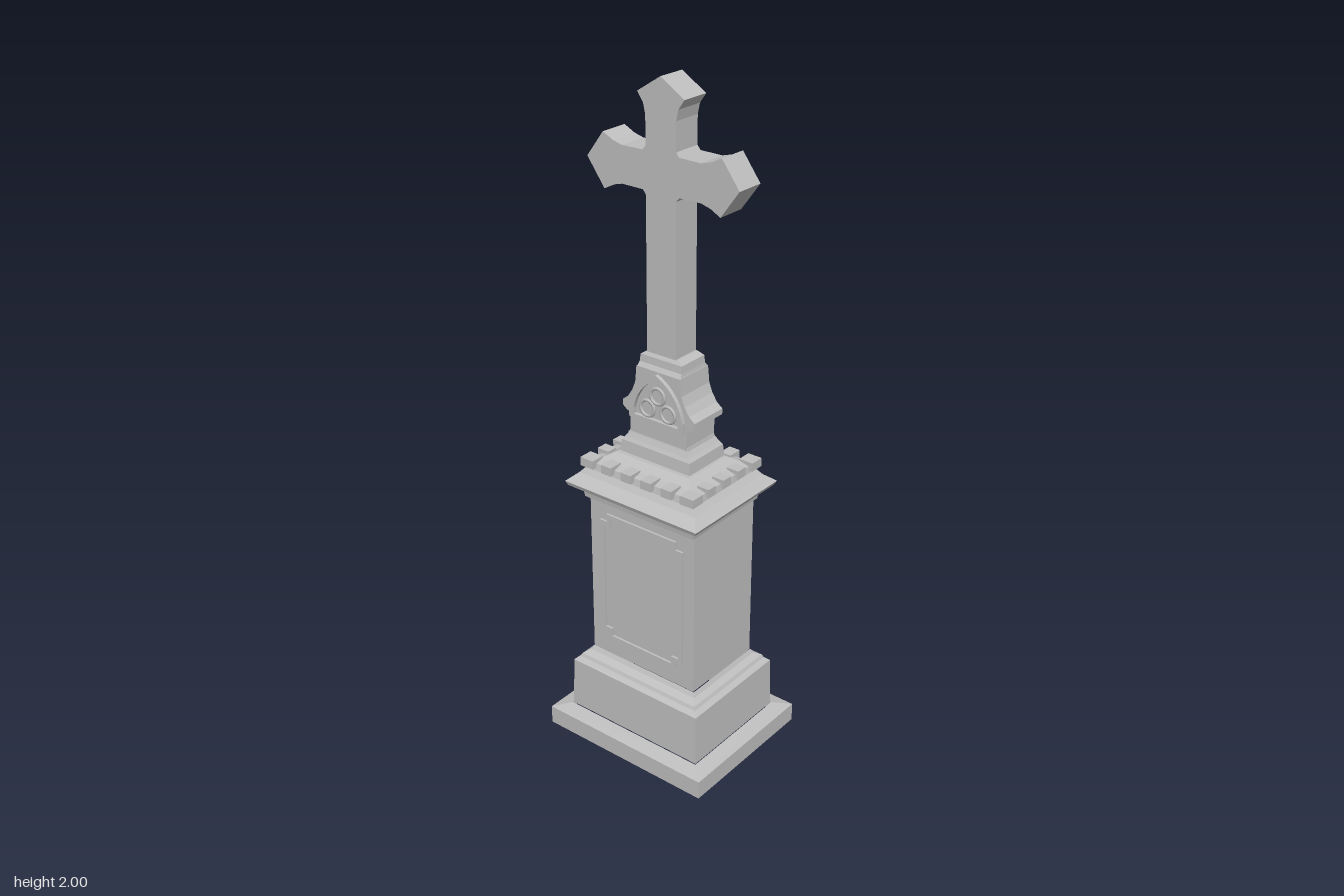
import * as THREE from 'three';

const stone = new THREE.MeshStandardMaterial({ color: 0xbebebe, side: THREE.DoubleSide });
stone.name = 'grey stone';

// Stacked rectangles [y, halfX, halfZ] joined by flat faces, open below
function rectLoft(rings, cx = 0, cz = 0, cap = true) {
  const pos = [];
  const corner = ([y, hx, hz], i) => {
    const [sx, sz] = [[-1, -1], [-1, 1], [1, 1], [1, -1]][i % 4];
    return [cx + sx * hx, y, cz + sz * hz];
  };
  const quad = (a, b, c, d) => pos.push(...a, ...b, ...c, ...a, ...c, ...d);
  for (let r = 0; r < rings.length - 1; r++)
    for (let i = 0; i < 4; i++)
      quad(corner(rings[r], i), corner(rings[r], i + 1), corner(rings[r + 1], i + 1), corner(rings[r + 1], i));
  if (cap) quad(...[0, 1, 2, 3].map(i => corner(rings[rings.length - 1], i)));
  const g = new THREE.BufferGeometry();
  g.setAttribute('position', new THREE.Float32BufferAttribute(pos, 3));
  g.computeVertexNormals();
  return g;
}

// Mirrors a half outline of [z, y] points, listed bottom to top
function mirrored(half) {
  const other = half.filter(p => p[0] > 0).reverse().map(([z, y]) => [-z, y]);
  return [...half, ...other].map(([z, y]) => new THREE.Vector2(z, y));
}

// Side outline extruded along x from x0 to x1
function slab(shape, x0, x1, cz = 0) {
  const g = new THREE.ExtrudeGeometry(shape, { depth: x1 - x0, bevelEnabled: false, curveSegments: 10 });
  return g.rotateY(Math.PI / 2).translate(x0, 0, cz);
}

// Pointed arch outline
function arch(s, w, y0, spring, peak) {
  s.moveTo(-w, y0);
  s.lineTo(w, y0);
  s.lineTo(w, spring);
  s.quadraticCurveTo(w * 0.8, spring + (peak - spring) * 0.72, 0, peak);
  s.quadraticCurveTo(-w * 0.8, spring + (peak - spring) * 0.72, -w, spring);
  s.closePath();
  return s;
}

// Rectangle with stepped corners
function notched(w, y0, y1, n) {
  return [[w - n, y0], [w - n, y0 + n], [w, y0 + n], [w, y1 - n], [w - n, y1 - n], [w - n, y1]];
}

export function createModel() {
  const model = new THREE.Group();
  const add = (name, geometry, parent = model) => {
    const m = new THREE.Mesh(geometry, stone);
    m.name = name;
    parent.add(m);
    return m;
  };

  // Hollow pedestal
  add('base', rectLoft([[0, 0.235, 0.285], [0.058, 0.235, 0.285], [0.07, 0.19, 0.238]], 0, 0, false));
  add('plinth', rectLoft([[0.07, 0.187, 0.236], [0.228, 0.183, 0.232], [0.24, 0.17, 0.218],
    [0.25, 0.165, 0.213], [0.262, 0.146, 0.197], [0.275, 0.138, 0.19]], 0, 0, false));
  add('shaft', rectLoft([[0.275, 0.137, 0.188], [0.785, 0.137, 0.188]], 0, -0.001, false));
  add('cornice', rectLoft([[0.785, 0.137, 0.188], [0.79, 0.148, 0.196], [0.808, 0.15, 0.199], [0.812, 0.143, 0.194],
    [0.82, 0.163, 0.21], [0.83, 0.183, 0.228], [0.843, 0.188, 0.235], [0.85, 0.18, 0.227],
    [0.868, 0.157, 0.207], [0.885, 0.145, 0.192], [0.905, 0.14, 0.188], [0.912, 0.115, 0.16],
    [0.93, 0.085, 0.13]], 0, -0.004));

  // Raised border on the left-hand face of the shaft in the outline of a panel
  const panel = new THREE.Shape(mirrored(notched(0.15, 0.33, 0.755, 0.025)));
  panel.holes.push(new THREE.Path(mirrored(notched(0.136, 0.344, 0.741, 0.025))));
  add('panelBorder', slab(panel, -0.144, -0.136));

  // Small blocks around the top of the cornice
  const blocks = new THREE.Group();
  blocks.name = 'cornice blocks';
  model.add(blocks);
  const block = (x, z, w, d) => add('corniceBlock', new THREE.BoxGeometry(w, 0.026, d).translate(x, 0.905, z), blocks);
  for (const s of [-1, 1]) {
    for (let i = 0; i < 6; i++) block(s * 0.135, -0.183 + i * 0.0714, 0.044, i % 5 ? 0.036 : 0.046);
    for (let i = 1; i < 4; i++) block(-0.135 + i * 0.0675, -0.005 + s * 0.179, 0.034, 0.04);
  }

  // Stepped foot of the shrine
  add('shrineFoot', rectLoft([[0.91, 0.085, 0.135], [0.93, 0.08, 0.124], [0.965, 0.076, 0.121],
    [0.975, 0.07, 0.113], [0.99, 0.063, 0.103], [1.0, 0.06, 0.101]], 0.008, -0.006));

  // Gabled shrine with flared roof
  add('shrine', slab(new THREE.Shape(mirrored([[0.1, 0.99], [0.1, 1.05], [0.112, 1.055], [0.127, 1.066],
    [0.127, 1.083], [0.108, 1.098], [0.092, 1.122], [0.081, 1.15], [0.076, 1.2]])), -0.054, 0.07, -0.006));
  add('neck', rectLoft([[1.195, 0.062, 0.076], [1.21, 0.052, 0.073], [1.232, 0.05, 0.071], [1.243, 0.043, 0.054]], 0.01, -0.007));

  // Pointed arch frames with tracery
  for (const s of [-1, 1]) {
    const x = s < 0 ? -0.066 : 0.07, y = 1.045;
    const frame = arch(new THREE.Shape(), 0.094, y, 1.075, 1.195);
    frame.holes.push(arch(new THREE.Path(), 0.078, y + 0.012, 1.075, 1.178));
    add('archFrame', slab(frame, x, x + 0.012, -0.006));
    if (s > 0) continue;
    for (const [z, cy, r] of [[0, 1.128, 0.024], [-0.036, 1.083, 0.024], [0.036, 1.083, 0.024]])
      add('tracery', new THREE.TorusGeometry(r, 0.005, 6, 16).rotateY(Math.PI / 2).translate(-0.056, cy, z - 0.006));
  }

  // Cross with flared, pointed ends
  const cross = new THREE.Shape(mirrored([[0.05, 1.235], [0.05, 1.685], [0.06, 1.697], [0.13, 1.698], [0.16, 1.69],
    [0.192, 1.673], [0.25, 1.752], [0.194, 1.827], [0.16, 1.81], [0.13, 1.802], [0.06, 1.803],
    [0.05, 1.815], [0.05, 1.895], [0.057, 1.925], [0.076, 1.952], [0, 2.0]]));
  add('cross', slab(cross, -0.034, 0.054, -0.01));

  return model;
}
